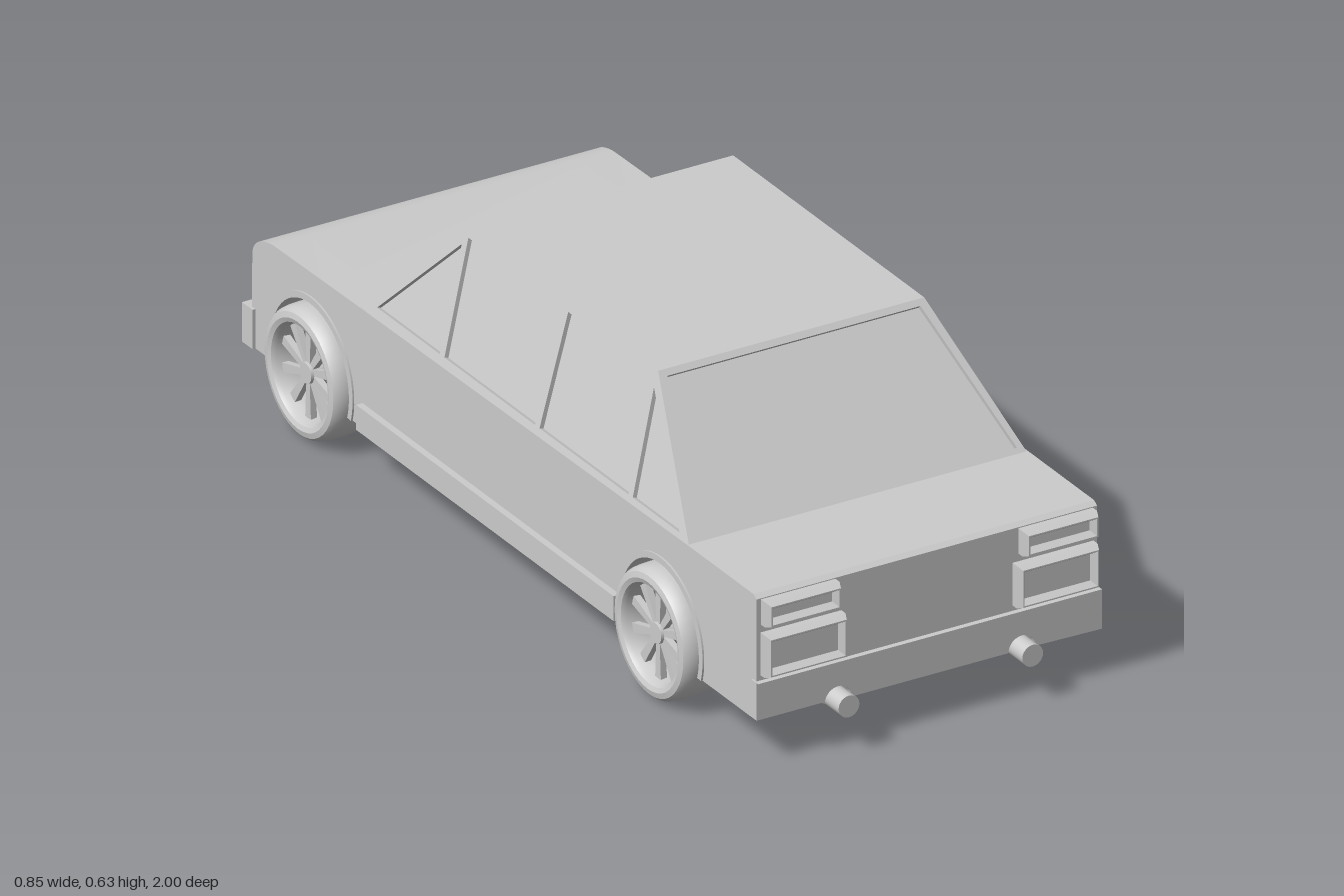
import * as THREE from 'three';
import { toCreasedNormals } from 'three/addons/utils/BufferGeometryUtils.js';

const grey = new THREE.MeshStandardMaterial({ color: 0xcccccc });
const glassGrey = new THREE.MeshStandardMaterial({ color: 0xcccccc, side: THREE.DoubleSide });
const AXLES = [0.587, -0.738];
const WHEEL_R = 0.141;
const ARCH_Y = 0.145;
const ARCH_R = 0.152;
const FLOOR = 0.1;

function add(parent, name, geometry, material = grey) {
  const mesh = new THREE.Mesh(geometry, material);
  mesh.name = name;
  parent.add(mesh);
  return mesh;
}

function box(parent, name, x0, x1, y0, y1, z0, z1) {
  const g = new THREE.BoxGeometry(x1 - x0, y1 - y0, z1 - z0);
  g.translate((x0 + x1) / 2, (y0 + y1) / 2, (z0 + z1) / 2);
  return add(parent, name, g);
}

const polygon = (points, Type = THREE.Shape) => new Type(points.map(([x, y]) => new THREE.Vector2(x, y)));

// Extrudes a (z, y) side profile from x0 to x1
function sideExtrude(shape, x0, x1) {
  const g = new THREE.ExtrudeGeometry(shape, { depth: x1 - x0, bevelEnabled: false, curveSegments: 16 });
  g.rotateY(-Math.PI / 2).translate(x1, 0, 0);
  return toCreasedNormals(g, 0.5);
}

// Side outline of the lower body, optionally with wheel arches cut out
function bodyProfile(arches) {
  const s = new THREE.Shape();
  s.moveTo(0.947, FLOOR);
  s.lineTo(0.947, 0.368);
  s.lineTo(0.935, 0.375);
  s.lineTo(0.695, 0.375);
  s.lineTo(-0.55, 0.362);
  s.lineTo(-0.88, 0.357);
  s.quadraticCurveTo(-0.95, 0.352, -0.962, 0.31);
  s.lineTo(-0.965, FLOOR);
  if (arches) {
    const a = Math.asin((ARCH_Y - FLOOR) / ARCH_R);
    for (const z of [...AXLES].reverse()) s.absarc(z, ARCH_Y, ARCH_R, Math.PI + a, -a, true);
  }
  s.closePath();
  return s;
}

// Flat framed panel with recessed glass; outline and holes lie in the u, v plane
function framedPanel(parent, name, origin, u, v, outline, holes) {
  const depth = 0.012;
  const panel = new THREE.Group();
  panel.name = name;
  const n = new THREE.Vector3().crossVectors(u, v);
  panel.matrixAutoUpdate = true;
  panel.quaternion.setFromRotationMatrix(new THREE.Matrix4().makeBasis(u, v, n));
  panel.position.copy(origin);
  const frame = polygon(outline);
  frame.holes = holes.map((h) => polygon(h, THREE.Path));
  const g = new THREE.ExtrudeGeometry(frame, { depth, bevelEnabled: false });
  add(panel, name + 'Frame', g.translate(0, 0, -depth));
  holes.forEach((h) => add(panel, name + 'Glass',
    new THREE.ShapeGeometry(polygon(h)).translate(0, 0, -depth * 0.8), glassGrey));
  parent.add(panel);
}

// Lamp: tapering rim around a sunken lens, facing +z or -z
function lamp(parent, name, cx, cy, w, h, z, out, dir) {
  const rings = [[0, -0.02], [0, out * 0.5], [0.006, out], [0.009, out], [0.018, out - 0.014]];
  const pos = [], idx = [];
  for (const [inset, d] of rings)
    for (const [sx, sy] of [[-1, -1], [1, -1], [1, 1], [-1, 1]])
      pos.push(sx * (w / 2 - inset), sy * (h / 2 - inset), d);
  for (let r = 0; r < rings.length - 1; r++)
    for (let i = 0; i < 4; i++) {
      const a = r * 4 + i, b = r * 4 + ((i + 1) % 4);
      idx.push(a, b, b + 4, a, b + 4, a + 4);
    }
  const k = (rings.length - 1) * 4;
  idx.push(k, k + 1, k + 2, k, k + 2, k + 3);
  let g = new THREE.BufferGeometry();
  g.setAttribute('position', new THREE.Float32BufferAttribute(pos, 3));
  g.setIndex(idx);
  g = g.toNonIndexed();
  g.computeVertexNormals();
  if (dir < 0) g.rotateY(Math.PI);
  add(parent, name, g.translate(cx, cy, z));
}

function lathe(points, segments = 40) {
  const g = new THREE.LatheGeometry(points.map(([r, x]) => new THREE.Vector2(r, x)), segments);
  return toCreasedNormals(g.rotateZ(-Math.PI / 2), 0.6);
}

// Wheel with its outer face toward +x
function makeWheel() {
  const wheel = new THREE.Group();
  wheel.name = 'wheel';
  add(wheel, 'tyre', lathe([[0.108, -0.046], [0.118, -0.05], [0.13, -0.047], [0.137, -0.038], [0.14, -0.02],
    [WHEEL_R, 0], [0.14, 0.02], [0.137, 0.038], [0.13, 0.047], [0.118, 0.05], [0.108, 0.046]]), glassGrey);
  add(wheel, 'rim', lathe([[0.108, -0.046], [0.1, -0.04], [0.098, 0], [0.102, 0.036], [0.108, 0.046]]), glassGrey);
  add(wheel, 'hub', new THREE.CylinderGeometry(0.022, 0.026, 0.03, 20).rotateZ(-Math.PI / 2).translate(0.017, 0, 0));
  const blade = polygon([[-0.006, 0.015], [0.006, 0.015], [0.011, 0.103], [-0.011, 0.103]]);
  for (let i = 0; i < 10; i++) {
    const g = new THREE.ExtrudeGeometry(blade, { depth: 0.014, bevelEnabled: false });
    g.rotateY(Math.PI / 2).translate(0.012, 0, 0).rotateX((i / 10) * Math.PI * 2);
    add(wheel, 'spoke', g);
  }
  return wheel;
}

export function createModel() {
  const car = new THREE.Group();
  car.name = 'car';

  // Lower body: plain core with arched flanks
  add(car, 'bodyCore', sideExtrude(bodyProfile(false), -0.315, 0.315));
  add(car, 'leftFlank', sideExtrude(bodyProfile(true), 0.315, 0.393));
  add(car, 'rightFlank', sideExtrude(bodyProfile(true), -0.393, -0.315));

  // Cabin: bottom and top outline
  const y0 = 0.365, y1 = 0.628, w0 = 0.393, w1 = 0.307;
  const rear0 = 0.695, rear1 = 0.433, front0 = -0.55, front1 = -0.29;
  box(car, 'roof', -w1, w1, y1 - 0.012, y1, front1, rear1);

  // Side panels with two end triangles and two door windows
  for (const s of [1, -1]) {
    const v = new THREE.Vector3(s * (w1 - w0), y1 - y0, 0);
    const h = v.length();
    const lo = 0.02, hi = h - 0.014;
    const flip = (pts) => pts.map(([z, y]) => [-s * z, y]);
    framedPanel(car, s > 0 ? 'leftSide' : 'rightSide', new THREE.Vector3(s * w0, y0, 0),
      new THREE.Vector3(0, 0, -s), v.normalize(),
      flip([[rear0, 0], [rear1, h], [front1, h], [front0, 0]]),
      [
        [[0.645, lo], [0.468, lo], [0.435, hi - 0.02]],
        [[0.452, lo], [0.115, lo], [0.1, hi], [0.418, hi]],
        [[0.098, lo], [-0.245, lo], [-0.278, hi], [0.083, hi]],
        [[-0.262, lo], [-0.5, lo], [-0.293, hi - 0.02]],
      ].map(flip));
  }

  // Glazed end panels
  for (const [name, s, zb, zt] of [['rearWindow', 1, rear0, rear1], ['windscreen', -1, front0, front1]]) {
    const v = new THREE.Vector3(0, y1 - y0, zt - zb);
    const h = v.length();
    framedPanel(car, name, new THREE.Vector3(0, y0, zb), new THREE.Vector3(s, 0, 0), v.normalize(),
      [[-w0, 0], [w0, 0], [w1, h], [-w1, h]],
      [[[-0.373, 0.026], [0.373, 0.026], [0.292, h - 0.015], [-0.292, h - 0.015]]]);
  }

  // Bumpers, the rear one notched over the exhausts
  box(car, 'frontBumper', -0.4, 0.4, FLOOR, 0.187, -0.99, -0.95);
  const rear = new THREE.Shape();
  rear.moveTo(-0.397, FLOOR);
  for (const x of [-0.212, 0.212]) rear.absarc(x, FLOOR + 0.003, 0.031, Math.PI, 0, true);
  rear.lineTo(0.397, FLOOR);
  rear.lineTo(0.397, 0.187);
  rear.lineTo(-0.397, 0.187);
  const rearGeo = new THREE.ExtrudeGeometry(rear, { depth: 0.025, bevelEnabled: false });
  add(car, 'rearBumper', rearGeo.translate(0, 0, 0.934));

  for (const s of [1, -1]) {
    // Sills, lamps and exhausts
    const sill = [s * 0.38, s * 0.408].sort((a, b) => a - b);
    box(car, 'sill', ...sill, FLOOR, 0.155, -0.545, 0.43);
    lamp(car, 'upperTailLamp', s * 0.297, 0.338, 0.172, 0.056, 0.947, 0.031, 1);
    lamp(car, 'lowerTailLamp', s * 0.291, 0.246, 0.187, 0.094, 0.947, 0.031, 1);
    lamp(car, 'headlamp', s * 0.248, 0.263, 0.19, 0.09, -0.962, 0.038, -1);
    const pipe = new THREE.CylinderGeometry(0.024, 0.024, 0.2, 24).rotateX(Math.PI / 2);
    add(car, 'exhaust', pipe.translate(s * 0.212, 0.107, 0.9));

    // Wheels and arch trims
    for (const z of AXLES) {
      const wheel = makeWheel();
      wheel.position.set(s * 0.375, WHEEL_R, z);
      if (s < 0) wheel.rotation.y = Math.PI;
      car.add(wheel);
      const trim = new THREE.Shape();
      trim.absarc(z, ARCH_Y, 0.162, -0.28, Math.PI + 0.28, false);
      trim.absarc(z, ARCH_Y, 0.148, Math.PI + 0.3, -0.3, true);
      add(car, 'archTrim', s > 0 ? sideExtrude(trim, 0.38, 0.397) : sideExtrude(trim, -0.397, -0.38));
    }
  }
  return car;
}
